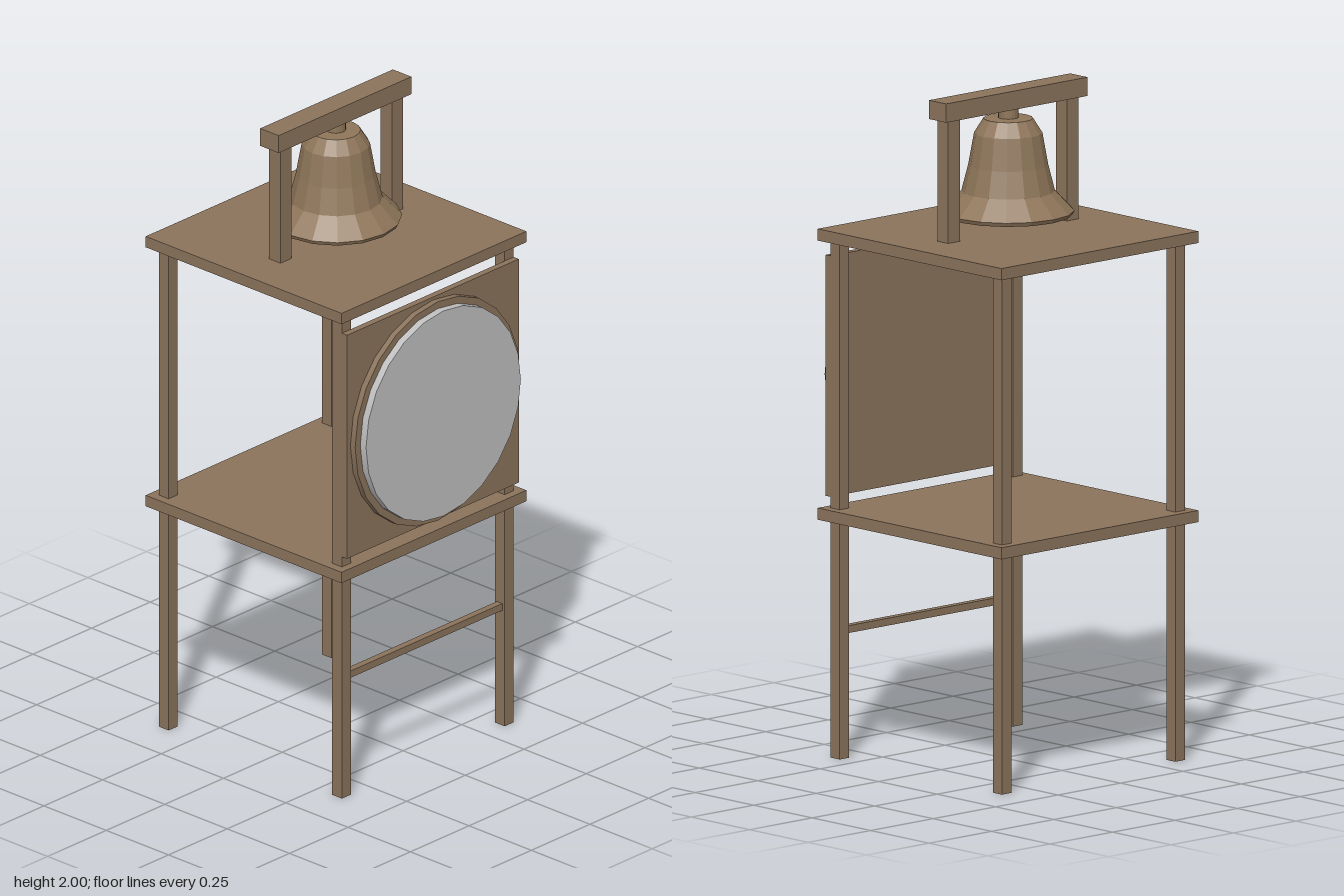
import * as THREE from 'three';

export function createModel() {
  const model = new THREE.Group();
  model.name = 'bellTower';

  const wood = new THREE.MeshStandardMaterial({ color: 0x8b745c });
  wood.name = 'brown wood';
  const bronze = new THREE.MeshStandardMaterial({ color: 0x8f765a, flatShading: true });
  bronze.name = 'bell bronze';
  const silver = new THREE.MeshStandardMaterial({ color: 0xc0c0c0 });
  silver.name = 'silver grey';

  const add = (name, geometry, material) => {
    const mesh = new THREE.Mesh(geometry, material);
    mesh.name = name;
    model.add(mesh);
    return mesh;
  };
  // Box given by its extents on each axis
  const box = (name, [x0, x1], [y0, y1], [z0, z1], material = wood) => {
    const mesh = add(name, new THREE.BoxGeometry(x1 - x0, y1 - y0, z1 - z0), material);
    mesh.position.set((x0 + x1) / 2, (y0 + y1) / 2, (z0 + z1) / 2);
    return mesh;
  };

  // Lower deck and roof deck
  box('lowerDeck', [-0.394, 0.394], [0.71, 0.745], [-0.412, 0.374]);
  box('roofDeck', [-0.394, 0.394], [1.543, 1.578], [-0.412, 0.374]);

  // Four tall legs and the beam frame's two posts
  for (const [side, s] of [['left', 1], ['right', -1]]) {
    const span = (a, b) => (s > 0 ? [a, b] : [-b, -a]);
    box(side + 'FrontLeg', span(0.328, 0.366), [0, 1.543], [0.31, 0.349]);
    box(side + 'BackLeg', span(0.328, 0.366), [0, 1.543], [-0.384, -0.346]);
    box(side + 'BellPost', span(0.214, 0.261), [1.578, 1.944], [-0.042, 0.004]);
  }
  box('bellBeam', [-0.283, 0.283], [1.944, 2], [-0.057, 0.017]);
  box('frontRung', [-0.328, 0.328], [0.37, 0.392], [0.318, 0.34]);

  // Front panel with a round rim and pale disc
  box('frontPanel', [-0.366, 0.366], [0.778, 1.497], [0.349, 0.37]);
  const disc = (name, radius, z0, z1, material) => {
    const geometry = new THREE.CylinderGeometry(radius, radius, z1 - z0, 24);
    geometry.rotateX(Math.PI / 2);
    add(name, geometry, material).position.set(0, 1.136, (z0 + z1) / 2);
  };
  disc('dialRim', 0.352, 0.37, 0.389, wood);
  disc('dialFace', 0.33, 0.389, 0.412, silver);

  // Thin rope between the decks
  const rope = add('bellRope', new THREE.CylinderGeometry(0.008, 0.008, 0.798, 8), wood);
  rope.position.set(0.142, 1.144, -0.158);

  // Faceted bell, hollow underneath
  const profile = [
    [0, 1.885], [0.08, 1.86], [0.11, 1.71], [0.175, 1.626],
    [0.188, 1.626], [0.194, 1.638], [0.137, 1.697], [0.117, 1.775],
    [0.1, 1.87], [0.073, 1.913], [0, 1.916],
  ].map(([r, y]) => new THREE.Vector2(r, y));
  add('bell', new THREE.LatheGeometry(profile, 16), bronze).position.z = -0.02;
  const stem = add('bellStem', new THREE.CylinderGeometry(0.03, 0.03, 0.034, 16), bronze);
  stem.position.set(0, 1.929, -0.02);

  return model;
}
